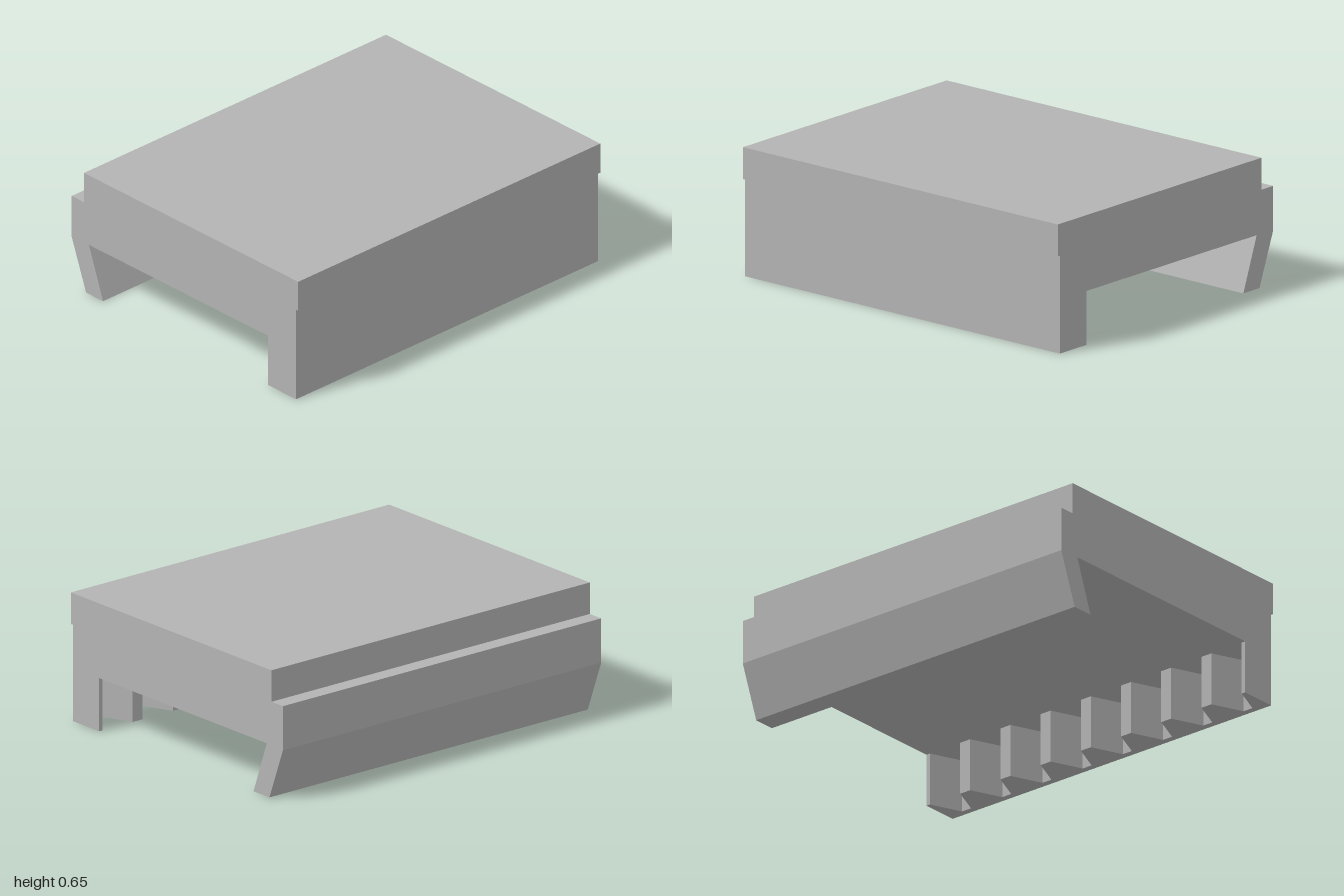
import * as THREE from 'three';

export function createModel() {
  const group = new THREE.Group();
  const grey = new THREE.MeshStandardMaterial({ color: 0xb3b3b3 });
  grey.name = 'grey';

  const extrude = (points, depth) => new THREE.ExtrudeGeometry(
    new THREE.Shape(points.map(([a, b]) => new THREE.Vector2(a, b))),
    { depth, bevelEnabled: false });

  const add = (name, geometry) => {
    const mesh = new THREE.Mesh(geometry, grey);
    mesh.name = name;
    group.add(mesh);
  };

  // Cover with front lip, stepped back edge and inward-leaning clip; profile is (z, y)
  const cover = extrude([
    [0.79, 0.65], [0.79, 0.49], [0.775, 0.49], [0.775, 0.27],
    [-0.67, 0.27], [-0.572, 0], [-0.69, 0], [-0.79, 0.265],
    [-0.79, 0.49], [-0.705, 0.49], [-0.705, 0.65],
  ], 2);
  cover.rotateY(-Math.PI / 2).translate(1, 0, 0);
  add('coverWithClip', cover);

  // Front wall with a row of tapered notches on its inner side; outline is (x, z)
  const outer = 0.775, tip = 0.58, valley = 0.74;
  const notches = 8, pitch = 0.2525, mouth = 0.095, floor = 0.028;
  const outline = [[1, outer], [-1, outer], [-1, tip]];
  for (let i = 0; i < notches; i++) {
    const x = (i - (notches - 1) / 2) * pitch;
    outline.push([x - mouth, tip], [x - floor, valley], [x + floor, valley], [x + mouth, tip]);
  }
  outline.push([1, tip]);
  const wall = extrude(outline, 0.27);
  wall.rotateX(Math.PI / 2).translate(0, 0.27, 0);
  add('toothedFrontWall', wall);

  return group;
}
